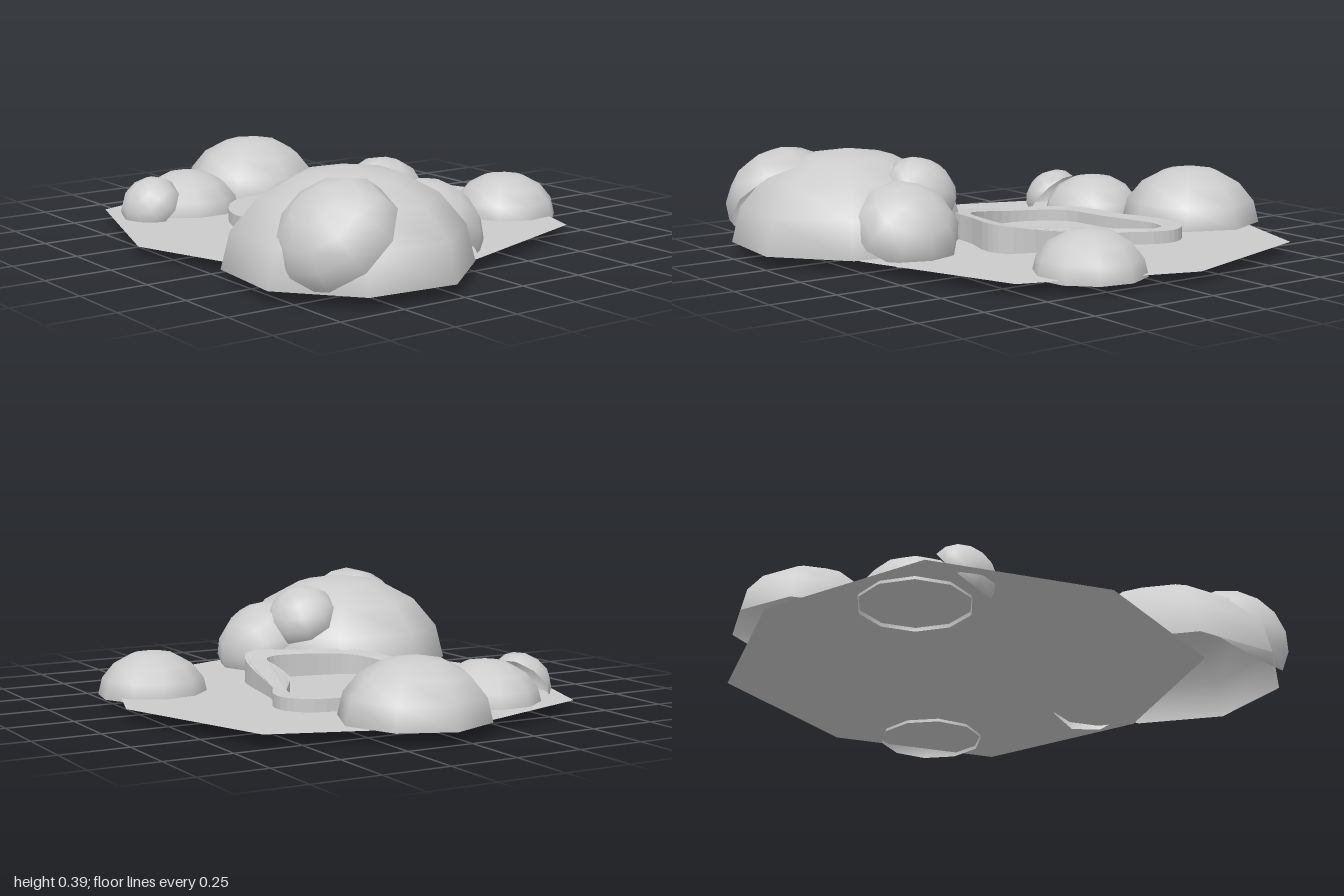
import * as THREE from 'three';

const GROUND_Y = 0.048;
const grey = new THREE.MeshStandardMaterial({ color: 0xcccccc, side: THREE.DoubleSide });

// Closed smooth outline; z is negated so the shape lies flat after rotateX(-90 degrees)
function outline(points) {
  const curve = new THREE.CatmullRomCurve3(
    points.map(([x, z]) => new THREE.Vector3(x, -z, 0)), true, 'centripetal');
  return curve.getPoints(56).slice(0, -1).map(p => new THREE.Vector2(p.x, p.y));
}

function addMesh(group, name, geometry) {
  const mesh = new THREE.Mesh(geometry, grey);
  mesh.name = name;
  group.add(mesh);
  return mesh;
}

export function createModel() {
  const model = new THREE.Group();
  model.name = 'rockPond';

  // Flat eight-sided ground
  const corners = [[0.84, 0], [0.63, 0.63], [0, 0.85], [-0.63, 0.63],
    [-0.84, 0], [-0.63, -0.63], [0, -0.85], [0.63, -0.63]];
  const ground = new THREE.ShapeGeometry(new THREE.Shape(corners.map(([x, y]) => new THREE.Vector2(x, y))));
  addMesh(model, 'ground', ground.rotateX(-Math.PI / 2).translate(0, GROUND_Y, -0.09));

  // Pond rim: a flat ring whose top rises towards the front
  const outer = outline([[-0.4, -0.07], [-0.37, -0.23], [-0.265, -0.37], [-0.18, -0.41], [-0.015, -0.43],
    [0.11, -0.475], [0.2, -0.49], [0.32, -0.455], [0.375, -0.38], [0.37, -0.3], [0.31, -0.18], [0.275, -0.02],
    [0.23, 0.19], [0.18, 0.275], [0.11, 0.295], [-0.05, 0.255], [-0.19, 0.235], [-0.285, 0.18], [-0.36, 0.07]]);
  const inner = outline([[-0.31, -0.07], [-0.285, -0.205], [-0.2, -0.31], [-0.02, -0.34], [0.14, -0.38],
    [0.23, -0.395], [0.295, -0.375], [0.31, -0.3], [0.245, -0.18], [0.17, -0.05], [0.15, 0.085],
    [0.145, 0.18], [0.1, 0.21], [-0.02, 0.205], [-0.18, 0.165], [-0.255, 0.1]]);
  const ring = new THREE.Shape(outer);
  ring.holes.push(new THREE.Path(inner));
  const rim = new THREE.ExtrudeGeometry(ring, { depth: 0.047, bevelEnabled: false });
  rim.rotateX(-Math.PI / 2);
  const pos = rim.attributes.position;
  for (let i = 0; i < pos.count; i++) {
    const rise = 0.055 * Math.pow(Math.max(0, pos.getZ(i) + 0.15) / 0.43, 1.3);
    if (pos.getY(i) > 0.02) pos.setY(i, pos.getY(i) + rise);
  }
  rim.computeVertexNormals();
  addMesh(model, 'pondRim', rim.translate(0, GROUND_Y, 0));

  // Water just above the ground
  const water = new THREE.ShapeGeometry(new THREE.Shape(inner));
  addMesh(model, 'water', water.rotateX(-Math.PI / 2).translate(0, GROUND_Y + 0.003, 0));

  // Boulders: open flattened domes, some leaning by tilt towards a heading (degrees from +x to +z)
  const boulders = [
    { name: 'largeBoulder', at: [-0.4, 0.048, 0.57], r: 0.435, h: 0.345, sides: 8, spin: 28 },
    { name: 'upperBoulder', at: [-0.575, 0.195, 0.75], r: 0.22, h: 0.185, tilt: 43, heading: 172 },
    { name: 'frontBoulder', at: [-0.037, 0.13, 0.55], r: 0.2, h: 0.165, tilt: 36, heading: 5 },
    { name: 'topBoulder', at: [-0.14, 0.245, 0.42], r: 0.145, h: 0.12, tilt: 38, heading: -35 },
    { name: 'backBoulder', at: [0.055, 0.048, -0.73], r: 0.272, h: 0.22, sides: 8 },
    { name: 'backMediumBoulder', at: [-0.355, 0.035, -0.56], r: 0.203, h: 0.165 },
    { name: 'backSmallBoulder', at: [-0.55, 0.09, -0.5], r: 0.12, h: 0.1, tilt: 48, heading: 160 },
    { name: 'sideBoulder', at: [0.605, 0.035, 0.21], r: 0.203, h: 0.165, spin: 28 },
  ];
  for (const { name, at, r, h, sides = 10, spin = 0, tilt = 0, heading = 0 } of boulders) {
    const dome = new THREE.SphereGeometry(1, sides, 4, 0, Math.PI * 2, 0, Math.PI / 2);
    dome.rotateY(-THREE.MathUtils.degToRad(spin)).scale(r, h, r);
    const mesh = addMesh(model, name, dome);
    const a = THREE.MathUtils.degToRad(heading);
    mesh.quaternion.setFromAxisAngle(
      new THREE.Vector3(Math.sin(a), 0, -Math.cos(a)), THREE.MathUtils.degToRad(tilt));
    mesh.position.set(...at);
  }
  return model;
}
